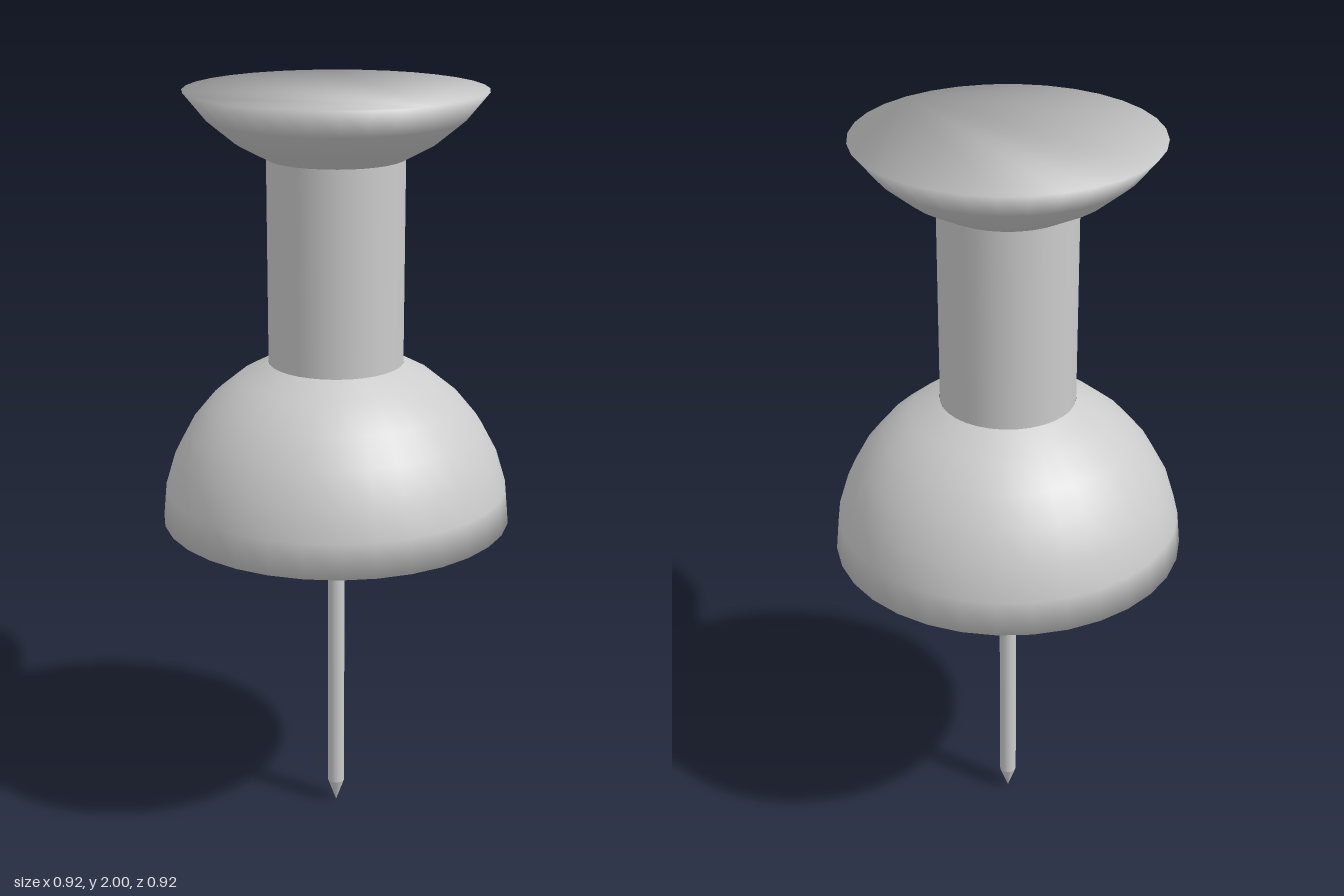
import * as THREE from 'three';

const SEGMENTS = 32;
const RADIUS = 0.461;   // both ends are slices of the same ball
const STEP = Math.PI / 16;

// Slice of a ball from latitude ring a to ring b, listed from bottom to top
function ballProfile(a, b, centreY) {
  const points = [];
  for (let k = a; k <= b; k++) {
    points.push(new THREE.Vector2(RADIUS * Math.cos(k * STEP), centreY + RADIUS * Math.sin(k * STEP)));
  }
  return points;
}

// Lathed wall closed by a flat cap; the shading rolls smoothly over the rim
function cappedLathe(profile, capOnTop) {
  const geometry = new THREE.LatheGeometry(profile, SEGMENTS);
  geometry.normalizeNormals();
  const normal = geometry.attributes.normal;
  const index = Array.from(geometry.index.array);
  const count = profile.length;
  const row = capOnTop ? count - 1 : 0;
  const rim = (i) => i * count + row;
  for (let i = 0; i <= SEGMENTS; i++) {
    normal.setY(rim(i), normal.getY(rim(i)) + (capOnTop ? 1 : -1));
  }
  for (let i = 1; i < SEGMENTS - 1; i++) {
    if (capOnTop) index.push(rim(0), rim(i), rim(i + 1));
    else index.push(rim(0), rim(i + 1), rim(i));
  }
  geometry.setIndex(index);
  geometry.normalizeNormals();
  return geometry;
}

export function createModel() {
  const group = new THREE.Group();
  const material = new THREE.MeshStandardMaterial({ color: 0xcccccc });
  const add = (name, geometry, y = 0) => {
    const mesh = new THREE.Mesh(geometry, material);
    mesh.name = name;
    mesh.position.y = y;
    group.add(mesh);
  };

  // Domed base of the grip, flat underneath
  add('base', cappedLathe(ballProfile(0, 6, 0.875), false));

  // Straight grip between base and head
  add('grip', new THREE.CylinderGeometry(0.176, 0.176, 0.531, SEGMENTS, 1, true), 1.5655);

  // Flaring head with a flat top
  add('head', cappedLathe(ballProfile(-6, -3, 2 + RADIUS * Math.sin(3 * STEP)), true));

  // Needle shaft and its point
  add('needle', new THREE.CylinderGeometry(0.023, 0.023, 0.82, 16, 1, true), 0.475);
  const point = new THREE.ConeGeometry(0.023, 0.065, 16, 1, true);
  point.rotateX(Math.PI);
  add('needlePoint', point, 0.0325);

  return group;
}
